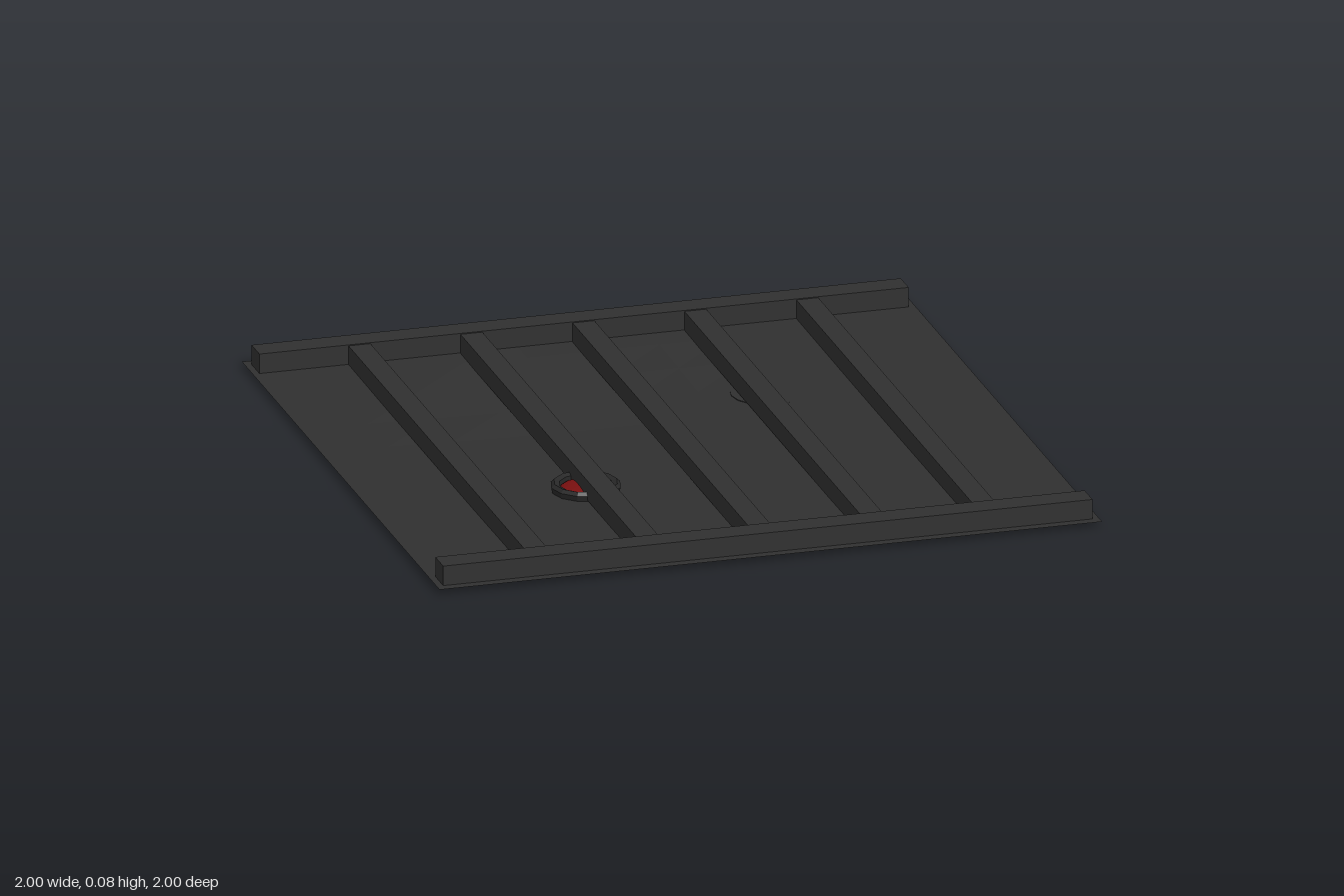
import * as THREE from 'three';

export function createModel() {
  const model = new THREE.Group();
  const charcoal = new THREE.MeshStandardMaterial({ color: 0x303030, flatShading: true });
  const sheetGrey = new THREE.MeshStandardMaterial({ color: 0x303030, flatShading: true, side: THREE.DoubleSide });
  const darkGrey = new THREE.MeshStandardMaterial({ color: 0x282828, flatShading: true });
  const red = new THREE.MeshStandardMaterial({ color: 0x7a1010, flatShading: true });
  charcoal.name = 'charcoal';
  sheetGrey.name = 'sheet grey';
  darkGrey.name = 'dark grey';
  red.name = 'lamp red';

  const add = (name, geometry, material, x, y, z) => {
    const mesh = new THREE.Mesh(geometry, material);
    mesh.name = name;
    mesh.position.set(x, y, z);
    model.add(mesh);
    return mesh;
  };

  // Thin sheet with flat edges, sagging to its lowest point off centre
  const sheet = new THREE.PlaneGeometry(2, 2, 10, 10).rotateX(-Math.PI / 2);
  const p = sheet.attributes.position;
  for (let i = 0; i < p.count; i++) {
    const x = p.getX(i), z = p.getZ(i);
    const edge = Math.max(0, (1 - x * x) * (1 - z * z));
    const dip = Math.exp(-3 * ((x + 0.2) ** 2 + (z + 0.15) ** 2));
    p.setY(i, 0.02 - edge * (0.004 + 0.013 * dip));
  }
  sheet.computeVertexNormals();
  add('sheet', sheet, sheetGrey, 0, 0, 0);

  // Front and back rails
  for (const side of [-1, 1]) {
    add(side > 0 ? 'frontRail' : 'backRail', new THREE.BoxGeometry(1.96, 0.06, 0.08), charcoal, 0, 0.05, side * 0.93);
  }

  // Ribs running between the rails
  for (let i = -2; i <= 2; i++) {
    add('rib', new THREE.BoxGeometry(0.066, 0.06, 1.78), charcoal, i * 0.338 - 0.002, 0.047, 0);
  }

  // Round lamp bezel, straddling a rib
  const bezel = [[0.078, 0.012], [0.1, 0.012], [0.104, 0.03], [0.094, 0.04], [0.078, 0.034], [0.078, 0.012]]
    .map(([r, y]) => new THREE.Vector2(r, y));
  add('lampBezel', new THREE.LatheGeometry(bezel, 12), darkGrey, -0.35, 0, 0.3);

  // Shallow red lamp and the small tip that passes through the sheet
  const lens = add('lampLens', new THREE.SphereGeometry(0.075, 12, 6, 0, Math.PI * 2, 0, Math.PI / 2), red, -0.35, 0.02, 0.3);
  lens.scale.y = 0.2;
  add('lampTip', new THREE.CylinderGeometry(0.02, 0.02, 0.01, 8), red, -0.37, 0.012, 0.32);

  // Shallow round cap on the underside
  add('undersideCap', new THREE.CylinderGeometry(0.11, 0.11, 0.006, 16), charcoal, 0.39, 0.011, -0.34);

  return model;
}
